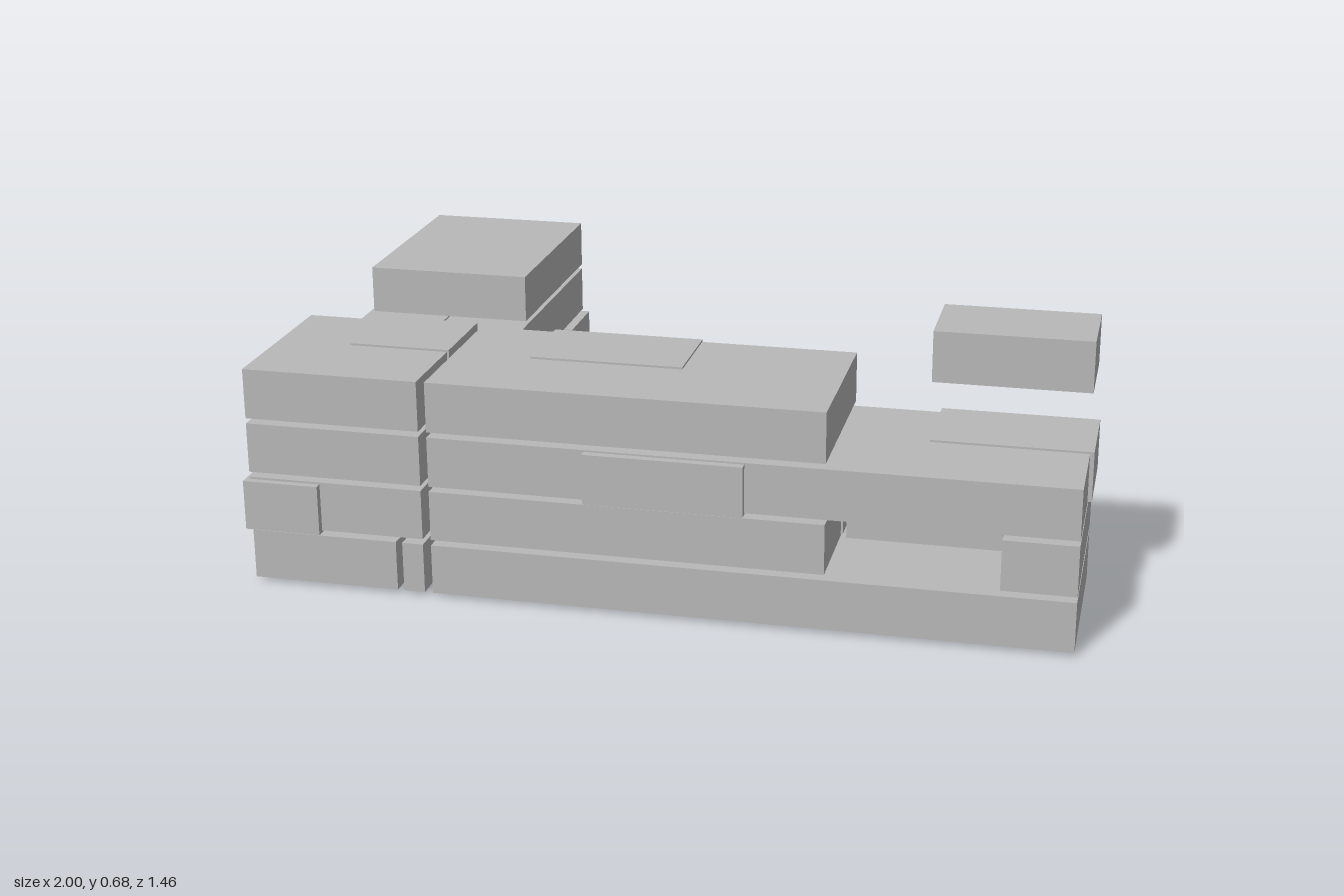
import * as THREE from 'three';

const BRICK_H = 0.123;
// bottom of each course
const COURSE = [0.01, 0.147, 0.283, 0.419, 0.555];

export function createModel() {
  const model = new THREE.Group();
  model.name = 'brokenCornerWall';
  const stone = new THREE.MeshStandardMaterial({ color: 0xb8b8b8 });
  stone.name = 'pale grey stone';

  // one block from its x range, z range and course, lifted by dy
  function block(name, course, x0, x1, z0, z1, dy = 0) {
    const mesh = new THREE.Mesh(new THREE.BoxGeometry(x1 - x0, BRICK_H, z1 - z0), stone);
    mesh.position.set((x0 + x1) / 2, COURSE[course] + BRICK_H / 2 + dy, (z0 + z1) / 2);
    mesh.name = name;
    model.add(mesh);
  }

  const L = -0.98, R = -0.55; // side wing and corner in x
  const B = 0.272, F = 0.705; // front wall and corner in z

  // bottom course: the corner has lost its rear brick
  block('frontWall', 0, -0.53, 0.99, B, F);
  block('frontWallLowBrick', 0, -0.43, -0.06, B, 0.485, -0.006);
  block('cornerBrick', 0, L, -0.618, 0.495, F);
  block('cornerFiller', 0, -0.602, R, B, F);
  block('sideWing', 0, L, R, -0.725, 0.257);
  block('sideWingLowBrick', 0, -0.985, -0.775, -0.34, 0.035, -0.006);
  block('sideWingLowBrick', 0, -0.985, -0.775, 0.042, 0.26, -0.004);

  // second course: gaps in the front face and the outer side
  block('frontWall', 1, -0.53, 0.415, B, F);
  block('frontWallRearBrick', 1, 0.04, 0.42, 0.25, 0.47, 0.004);
  block('frontWallRearBrick', 1, 0.43, 0.8, B, 0.48);
  block('frontWallEnd', 1, 0.817, 0.99, B, F);
  block('corner', 1, L, R, B, F);
  block('cornerHalfBrick', 1, -0.99, -0.803, 0.505, 0.723, -0.005);
  block('sideWing', 1, L, R, -0.725, -0.165);
  block('sideWingHalfBrick', 1, -0.755, -0.533, -0.732, -0.55, 0.004);
  block('sideWingInnerBrick', 1, -0.755, -0.535, -0.15, 0.228);

  // third course
  block('frontWall', 2, -0.53, 0.99, B, F);
  block('frontWallProudBrick', 2, -0.15, 0.228, 0.505, 0.725, -0.004);
  block('frontWallEndBrick', 2, 0.622, 1.0, 0.257, 0.48, 0.005);
  block('corner', 2, L, R, B, F);
  block('sideWing', 2, L, R, -0.725, 0.257);
  block('sideWingProudBrick', 2, -1.0, -0.777, -0.35, 0.035, 0.004);
  block('sideWingProudBrick', 2, -0.99, -0.775, 0.042, 0.26, 0.002);

  // fourth course: open along the middle of the wing
  block('frontWall', 3, -0.53, 0.415, B, F);
  block('frontWallRaisedBrick', 3, -0.34, 0.033, 0.268, 0.485, 0.005);
  block('corner', 3, L, R, B, F);
  block('cornerRaisedBrick', 3, -0.795, -0.545, 0.258, 0.48, 0.005);
  block('sideWing', 3, L, R, -0.725, -0.165);

  // single brick hanging over the wall end
  block('topBrick', 4, 0.622, 0.99, B, 0.485);

  // brick lying loose on the ground
  const loose = new THREE.Mesh(new THREE.BoxGeometry(0.36, 0.12, 0.203), stone);
  loose.position.set(-0.26, 0.06, -0.06);
  loose.rotation.y = 0.7;
  loose.name = 'fallenBrick';
  model.add(loose);

  return model;
}
